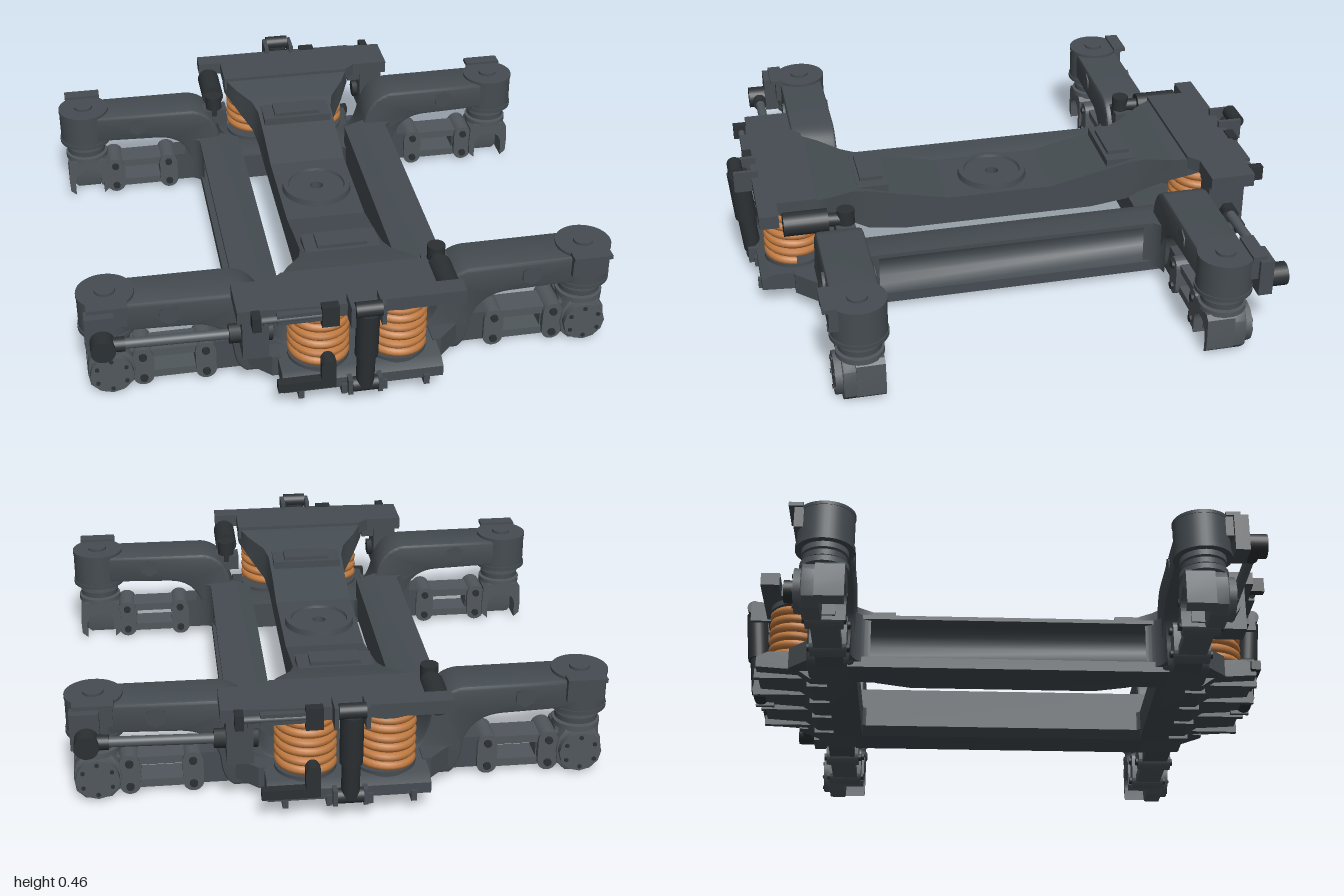
import * as THREE from 'three';
import { toCreasedNormals } from 'three/addons/utils/BufferGeometryUtils.js';

const steel = new THREE.MeshStandardMaterial({ color: 0x454c51, side: THREE.DoubleSide });
const grey = new THREE.MeshStandardMaterial({ color: 0x50575c });
const dark = new THREE.MeshStandardMaterial({ color: 0x2b3033 });
const orange = new THREE.MeshStandardMaterial({ color: 0xc07a40 });
const V = (x, y, z) => new THREE.Vector3(x, y, z);

function add(parent, name, geo, mat = steel) {
  const m = new THREE.Mesh(geo, mat);
  m.name = name;
  parent.add(m);
  return m;
}
// box given by its x, y and z ranges
function box(p, name, x0, x1, y0, y1, z0, z1, mat) {
  const m = add(p, name, new THREE.BoxGeometry(Math.abs(x1 - x0), y1 - y0, z1 - z0), mat);
  m.position.set((x0 + x1) / 2, (y0 + y1) / 2, (z0 + z1) / 2);
}
// cylinder between two points
function rod(p, name, a, b, r, mat, sides = 24) {
  const d = b.clone().sub(a);
  const m = add(p, name, new THREE.CylinderGeometry(r, r, d.length(), sides), mat);
  m.position.copy(a).addScaledVector(d, 0.5);
  m.quaternion.setFromUnitVectors(V(0, 1, 0), d.normalize());
}
function extrude(shape, depth, bevel = 0) {
  const g = new THREE.ExtrudeGeometry(shape, {
    depth: depth - 2 * bevel, curveSegments: 16, bevelEnabled: bevel > 0,
    bevelSize: bevel, bevelThickness: bevel, bevelOffset: -bevel, bevelSegments: 2 });
  g.translate(0, 0, bevel);
  return toCreasedNormals(g, 0.6);
}
// plan shape (x, z) raised from y0 to y1
function slab(p, name, shape, y0, y1) {
  const g = extrude(shape, y1 - y0);
  g.rotateX(Math.PI / 2);
  g.translate(0, y1, 0);
  add(p, name, g);
}
const poly = (pts) => new THREE.Shape(pts.map(([a, b]) => new THREE.Vector2(a, b)));

// rectangular sections [z, halfWidth, yBottom, yTop] joined along z
function loft(stations) {
  const pos = [], idx = [], n = stations.length;
  for (const [z, w, b, t] of stations) pos.push(w, b, z, w, t, z, -w, t, z, -w, b, z);
  for (let i = 0; i < n - 1; i++)
    for (let k = 0; k < 4; k++) {
      const a = i * 4 + k, c = i * 4 + (k + 1) % 4;
      idx.push(a, c, a + 4, c, c + 4, a + 4);
    }
  const e = (n - 1) * 4;
  idx.push(0, 2, 1, 0, 3, 2, e, e + 1, e + 2, e, e + 2, e + 3);
  const g = new THREE.BufferGeometry();
  g.setAttribute('position', new THREE.Float32BufferAttribute(pos, 3));
  g.setIndex(idx);
  return toCreasedNormals(g, 0.5);
}

class Helix extends THREE.Curve {
  constructor(r, y0, y1, turns) { super(); Object.assign(this, { r, y0, y1, turns }); }
  getPoint(t, out = new THREE.Vector3()) {
    const a = t * this.turns * Math.PI * 2;
    return out.set(this.r * Math.cos(a), this.y0 + (this.y1 - this.y0) * t, this.r * Math.sin(a));
  }
}

function sideFrame(p) {
  // cranked arms dropping into a spring well
  const s = new THREE.Shape();
  s.moveTo(0, 0.03);
  s.lineTo(0.38, 0.03);
  s.quadraticCurveTo(0.42, 0.05, 0.425, 0.14);
  s.quadraticCurveTo(0.45, 0.25, 0.56, 0.255);
  s.lineTo(0.86, 0.265);
  s.lineTo(0.86, 0.372);
  s.lineTo(0.42, 0.37);
  s.quadraticCurveTo(0.34, 0.36, 0.31, 0.27);
  s.quadraticCurveTo(0.29, 0.14, 0.22, 0.135);
  s.lineTo(0, 0.135);
  const half = s.getPoints(10);
  const full = half.concat(half.slice(1, -1).reverse().map((v) => new THREE.Vector2(-v.x, v.y)));
  add(p, 'sideFrame', extrude(new THREE.Shape(full), 0.17, 0.012)).position.z = 0.555;

  // spring shelf with ribs underneath
  const shelf = poly([[0.55, 0.03], [0.72, 0.03], [0.77, 0.065], [0.92, 0.075], [0.92, 0.115], [0.88, 0.135], [0.55, 0.135]]);
  const g = extrude(shelf, 0.56);
  g.rotateY(-Math.PI / 2);
  g.translate(0.28, 0, 0);
  add(p, 'springShelf', g);
  for (const x of [-0.22, -0.07, 0.07, 0.22]) {
    box(p, 'shelfRib', x - 0.01, x + 0.01, 0.02, 0.09, 0.66, 0.735);
    box(p, 'shelfRibTip', x - 0.01, x + 0.01, 0.052, 0.09, 0.735, 0.93);
  }
  for (const e of [-1, 1])
    slab(p, 'shelfGusset', poly([[e * 0.27, 0.7], [e * 0.4, 0.7], [e * 0.3, 0.8], [e * 0.27, 0.8]]), 0.06, 0.14);
}

function corner(p, s) {
  const x = s * 0.85, z = 0.64;
  // arm end and layered rubber spring
  rod(p, 'armEnd', V(x, 0.25, z), V(x, 0.375, z), 0.098, steel, 40);
  rod(p, 'armEndRim', V(x, 0.24, z), V(x, 0.255, z), 0.102, steel, 40);
  rod(p, 'armEndLid', V(x, 0.37, z), V(x, 0.382, z), 0.1, steel, 40);
  rod(p, 'armEndCap', V(x, 0.38, z), V(x, 0.392, z), 0.036, steel);
  [0.084, 0.076, 0.08].forEach((r, i) =>
    rod(p, 'rubberSpring', V(x, 0.165 + i * 0.027, z), V(x, 0.185 + i * 0.027, z), r, i % 2 ? steel : grey, 32));
  rod(p, 'springCore', V(x, 0.14, z), V(x, 0.25, z), 0.06, dark);
  // axle box: an arched saddle inside, a closed housing outside
  const saddle = poly([[0.058, 0.01], [0.08, 0.03], [0.082, 0.08], [0.078, 0.15], [0.06, 0.165], [-0.06, 0.165],
    [-0.078, 0.15], [-0.082, 0.08], [-0.08, 0.03], [-0.058, 0.01], [-0.058, 0.065]]);
  saddle.absarc(0, 0.065, 0.058, Math.PI, 0, true);
  add(p, 'axleSaddle', extrude(saddle, 0.1), grey).position.set(x, 0.005, 0.565);
  const housing = poly([[0.045, 0], [0.075, 0.03], [0.082, 0.08], [0.075, 0.13], [0.05, 0.165],
    [-0.05, 0.165], [-0.075, 0.13], [-0.082, 0.08], [-0.075, 0.03], [-0.045, 0]]);
  add(p, 'axleBox', extrude(housing, 0.065, 0.005), grey).position.set(x, 0.005, 0.645);
  rod(p, 'axleCover', V(x, 0.09, 0.69), V(x, 0.09, 0.735), 0.076, grey, 12);
  for (let i = 0; i < 6; i++) {
    const a = (i + 0.5) * Math.PI / 3, bx = x + 0.058 * Math.cos(a), by = 0.09 + 0.058 * Math.sin(a);
    rod(p, 'coverBolt', V(bx, by, 0.73), V(bx, by, 0.74), 0.008, dark, 6);
  }
  // paired guide links between axle box and frame
  box(p, 'axleBoxArm', s * 0.7, s * 0.8, 0.03, 0.145, 0.6, 0.68, grey);
  box(p, 'linkAnchor', s * 0.38, s * 0.53, 0.03, 0.15, 0.59, 0.69);
  for (const ex of [0.52, 0.74]) {
    const plate = new THREE.Shape();
    plate.absarc(0, 0.125, 0.036, 0, Math.PI, false);
    plate.absarc(0, 0.045, 0.036, Math.PI, Math.PI * 2, false);
    add(p, 'linkPlate', extrude(plate, 0.13), grey).position.set(s * ex, 0, 0.575);
  }
  for (const y of [0.04, 0.13]) {
    box(p, 'guideLink', s * 0.52, s * 0.74, y - 0.015, y + 0.015, 0.59, 0.69, grey);
    for (const ex of [0.52, 0.74])
      rod(p, 'linkPin', V(s * ex, y, 0.565), V(s * ex, y, 0.715), 0.014, dark, 12);
  }
  // arm side details
  rod(p, 'armBoss', V(s * 0.64, 0.32, 0.55), V(s * 0.64, 0.32, 0.735), 0.038, steel, 6);
  box(p, 'armPad', x - 0.065, x + 0.065, 0.3, 0.375, 0.7, 0.745);
  box(p, 'armPadLip', x - 0.07, x + 0.07, 0.378, 0.392, 0.715, 0.765);
}

function coilSpring(p, x, z) {
  const g = new THREE.Group();
  g.name = 'coilSpring';
  g.position.set(x, 0, z);
  p.add(g);
  add(g, 'outerCoil', new THREE.TubeGeometry(new Helix(0.093, 0.155, 0.35, 5.5), 170, 0.0165, 8), orange);
  add(g, 'innerCoil', new THREE.TubeGeometry(new Helix(0.05, 0.15, 0.355, 7), 150, 0.011, 6), orange);
  rod(g, 'lowerSeat', V(0, 0.13, 0), V(0, 0.148, 0), 0.108, steel, 32);
  rod(g, 'upperSeat', V(0, 0.355, 0), V(0, 0.38, 0), 0.108, steel, 32);
}

function bolsterEnd(p) {
  add(p, 'bolsterArm', loft([[0.2, 0.147, 0.19, 0.3], [0.36, 0.147, 0.19, 0.335], [0.5, 0.15, 0.21, 0.368],
    [0.56, 0.165, 0.25, 0.382], [0.64, 0.22, 0.31, 0.4], [0.72, 0.26, 0.35, 0.415], [0.78, 0.26, 0.365, 0.42]]));
  slab(p, 'bolsterPlate', poly([[-0.25, 0.7], [-0.29, 0.735], [-0.43, 0.735], [-0.43, 0.9], [-0.1, 0.915],
    [0.35, 0.915], [0.35, 0.845], [0.26, 0.845], [0.26, 0.7]]), 0.375, 0.424);
  // side bearer
  box(p, 'bearerBase', -0.135, 0.135, 0.33, 0.378, 0.42, 0.535);
  box(p, 'bearerPad', -0.09, 0.09, 0.37, 0.392, 0.435, 0.52);
}

function dampersAndRods(p) {
  // leaning vertical damper in the middle
  rod(p, 'verticalDamperLower', V(0, 0.09, 0.93), V(0, 0.26, 0.948), 0.032, dark);
  rod(p, 'verticalDamperUpper', V(0, 0.23, 0.945), V(0, 0.42, 0.962), 0.04, dark);
  rod(p, 'damperTopEye', V(-0.045, 0.435, 0.97), V(0.045, 0.435, 0.97), 0.027, dark);
  rod(p, 'damperBottomEye', V(-0.045, 0.09, 0.93), V(0.045, 0.09, 0.93), 0.027, dark);
  for (const x of [-0.052, 0.052]) {
    box(p, 'damperTopLug', x - 0.008, x + 0.008, 0.37, 0.45, 0.89, 0.98);
    box(p, 'damperBottomLug', x - 0.008, x + 0.008, 0.06, 0.12, 0.88, 0.95);
  }
  // lateral damper from bolster plate to side frame
  rod(p, 'lateralDamper', V(0.315, 0.365, 0.67), V(0.315, 0.365, 0.83), 0.043, dark);
  rod(p, 'lateralDamperRod', V(0.32, 0.365, 0.6), V(0.315, 0.365, 0.67), 0.025, dark);
  rod(p, 'lateralDamperEye', V(0.32, 0.325, 0.605), V(0.32, 0.405, 0.605), 0.032, dark);
  box(p, 'lateralDamperBracket', 0.27, 0.39, 0.29, 0.35, 0.575, 0.645);
  // long anchor rod along the side
  rod(p, 'anchorRod', V(-0.9, 0.285, 0.815), V(-0.37, 0.27, 0.81), 0.018, grey);
  box(p, 'anchorBracket', -0.93, -0.83, 0.24, 0.375, 0.74, 0.79);
  rod(p, 'anchorEye', V(-0.875, 0.283, 0.77), V(-0.875, 0.283, 0.855), 0.042, dark);
  rod(p, 'anchorCollar', V(-0.84, 0.283, 0.815), V(-0.8, 0.282, 0.815), 0.026, dark);
  box(p, 'bolsterBracket', -0.41, -0.32, 0.2, 0.38, 0.735, 0.87);
  rod(p, 'anchorNut', V(-0.45, 0.272, 0.81), V(-0.3, 0.268, 0.81), 0.034, dark, 6);
  box(p, 'bolsterBracketWeb', -0.34, -0.27, 0.34, 0.38, 0.75, 0.88);
  // levelling lever on the bolster edge and its valve below
  rod(p, 'levelLever', V(-0.37, 0.395, 0.92), V(-0.1, 0.395, 0.92), 0.012, grey, 12);
  box(p, 'leverBlock', -0.15, -0.09, 0.35, 0.43, 0.9, 0.935, dark);
  box(p, 'leverBody', -0.3, -0.15, 0.375, 0.415, 0.9, 0.93);
  box(p, 'leverEnd', -0.385, -0.355, 0.37, 0.425, 0.9, 0.95, dark);
  box(p, 'levelValve', -0.3, -0.1, 0.09, 0.125, 0.9, 0.935, dark);
  box(p, 'valveBlock', -0.15, -0.1, 0.12, 0.2, 0.9, 0.935, dark);
  rod(p, 'valvePin', V(-0.125, 0.19, 0.89), V(-0.125, 0.19, 0.945), 0.024, dark, 16);
}

function crossBeams(p) {
  for (const s of [-1, 1]) {
    // channel section, hollowed on the outside
    const prof = poly([[0.225, 0.06], [0.255, 0.03], [0.39, 0.03], [0.39, 0.07], [0.35, 0.078], [0.32, 0.105], [0.31, 0.145],
      [0.32, 0.185], [0.345, 0.21], [0.39, 0.222], [0.39, 0.237], [0.3, 0.24], [0.225, 0.215]].map(([x, y]) => [s * x, y]));
    add(p, 'crossBeam', extrude(prof, 1.16)).position.z = -0.58;
    // curved gussets into the side frames
    for (const e of [-1, 1])
      for (const [x0, d] of [[0.38, 0.07], [0.235, -0.05]]) {
        const g = new THREE.Shape();
        g.moveTo(s * x0, e * 0.58);
        g.lineTo(s * (x0 + d), e * 0.565);
        g.quadraticCurveTo(s * (x0 + d * 0.1), e * 0.555, s * x0, e * 0.5);
        slab(p, 'beamGusset', g, d > 0 ? 0.05 : 0.06, d > 0 ? 0.237 : 0.135);
      }
  }
}

export function createModel() {
  const root = new THREE.Group();
  root.name = 'railTruckFrame';
  crossBeams(root);

  // bolster middle with pivot bowl and through hole
  const mid = poly([[-0.147, -0.2], [0.147, -0.2], [0.147, 0.2], [-0.147, 0.2]]);
  mid.holes.push(new THREE.Path().absarc(0, 0, 0.025, 0, Math.PI * 2, true));
  slab(root, 'bolsterMiddle', mid, 0.19, 0.3);
  const bowl = new THREE.LatheGeometry([[0.025, 0.295], [0.025, 0.312], [0.105, 0.312], [0.108, 0.322],
    [0.128, 0.322], [0.132, 0.295]].map(([x, y]) => new THREE.Vector2(x, y)), 48);
  add(root, 'pivotBowl', toCreasedNormals(bowl, 0.5));

  // the two ends are the same, turned half way round
  for (const turn of [0, Math.PI]) {
    const end = new THREE.Group();
    end.name = turn ? 'backEnd' : 'frontEnd';
    end.rotation.y = turn;
    root.add(end);
    sideFrame(end);
    for (const s of [-1, 1]) {
      corner(end, s);
      coilSpring(end, s * 0.137, 0.785);
    }
    bolsterEnd(end);
    dampersAndRods(end);
  }
  return root;
}
